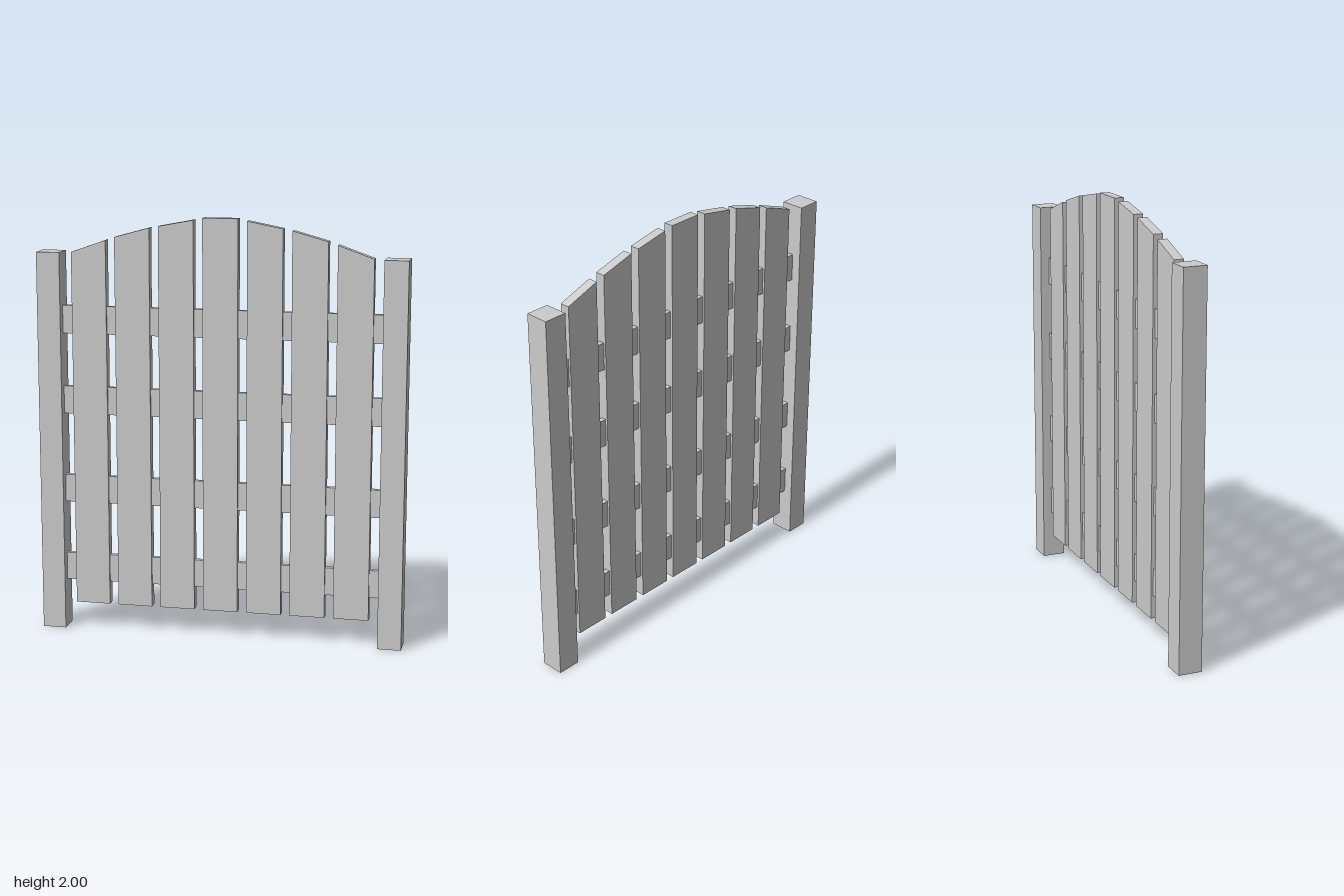
import * as THREE from 'three';

const POST_X = 0.818, POST_W = 0.112, POST_H = 1.83;
const PLANK_W = 0.167, PLANK_D = 0.046, PLANK_PITCH = 0.21, PLANK_BOTTOM = 0.125;

export function createModel() {
  const model = new THREE.Group();
  model.name = 'gate';
  const wood = new THREE.MeshStandardMaterial({ color: 0xcccccc, flatShading: true });
  const shell = wood.clone();
  shell.side = THREE.DoubleSide;

  function add(name, geometry, material, x, y, z) {
    const mesh = new THREE.Mesh(geometry, material);
    mesh.name = name;
    mesh.position.set(x, y, z);
    model.add(mesh);
  }

  // Square posts, hollow and open at the foot
  const postGeometry = new THREE.BoxGeometry(POST_W, POST_H, POST_W);
  const faces = Array.from(postGeometry.index.array);
  faces.splice(18, 6); // drop the bottom face
  postGeometry.setIndex(faces);
  postGeometry.clearGroups();
  add('leftPost', postGeometry, shell, POST_X, POST_H / 2, 0);
  add('rightPost', postGeometry, shell, -POST_X, POST_H / 2, 0);

  // Horizontal rails running between the posts
  const railGeometry = new THREE.BoxGeometry(2 * POST_X - POST_W, 0.133, 0.025);
  [0.302, 0.691, 1.124, 1.51].forEach((y, i) => add(`rail${i + 1}`, railGeometry, wood, 0, y, 0));

  // Vertical planks with sloped tops forming an arch: [inner, outer] top heights
  const tops = [[2, 2], [1.99, 1.958], [1.95, 1.904], [1.889, 1.83]];
  for (let i = -3; i <= 3; i++) {
    const [inner, outer] = tops[Math.abs(i)];
    const [minusTop, plusTop] = i < 0 ? [outer, inner] : [inner, outer];
    const h = PLANK_W / 2;
    const outline = new THREE.Shape([
      new THREE.Vector2(-h, PLANK_BOTTOM),
      new THREE.Vector2(h, PLANK_BOTTOM),
      new THREE.Vector2(h, plusTop),
      new THREE.Vector2(-h, minusTop),
    ]);
    const plank = new THREE.ExtrudeGeometry(outline, { depth: PLANK_D, bevelEnabled: false });
    add(`plank${i + 4}`, plank, wood, i * PLANK_PITCH, 0, -PLANK_D / 2);
  }
  return model;
}
